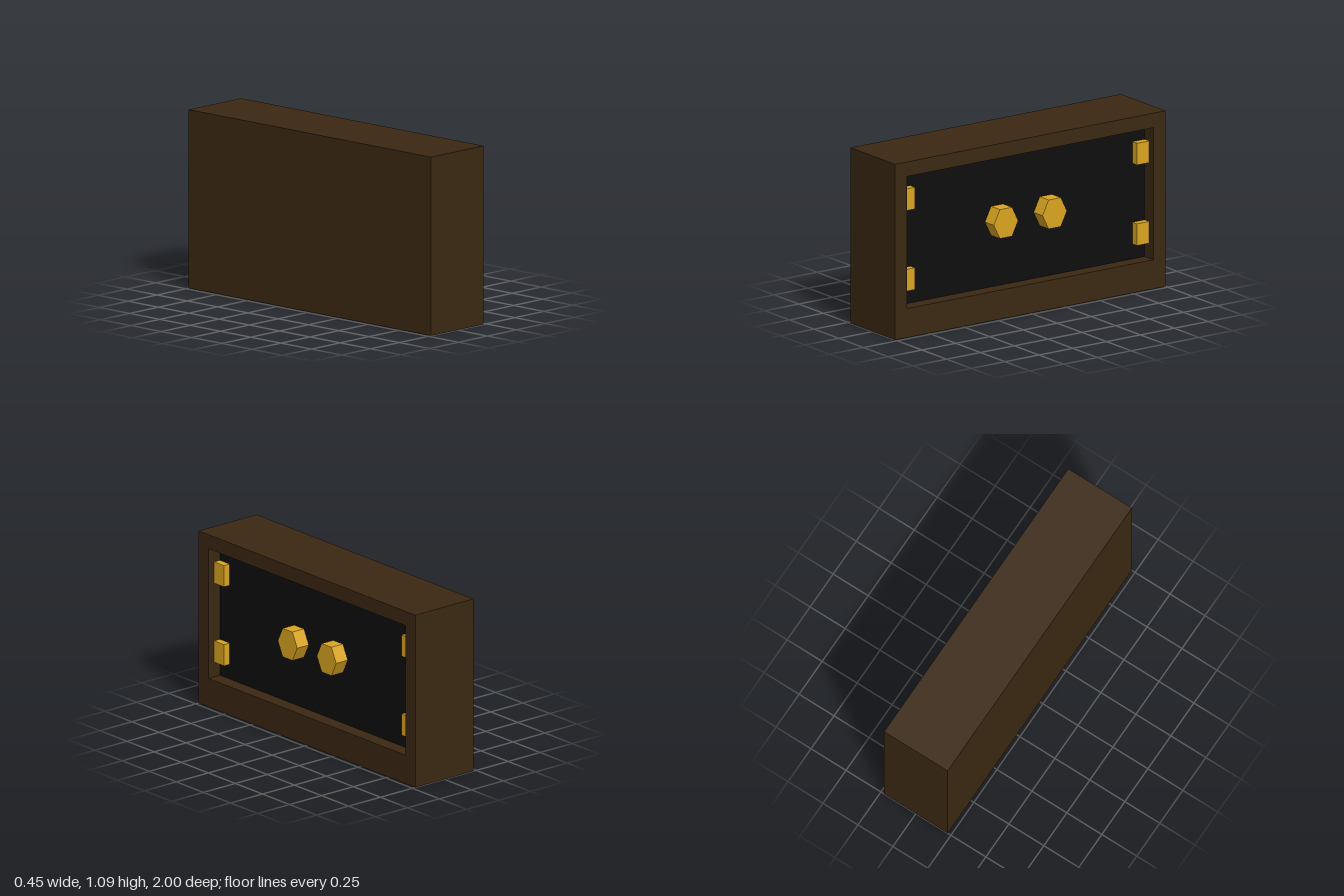
import * as THREE from 'three';

const W = 0.227, H = 1.09;                        // half width, height (half length is 1)
const HOLE = { z: 0.91, y0: 0.18, y1: 1.0 };      // recess opening
const DEPTH = 0.09, BACK = W - DEPTH;             // recess depth and its rear plane

const material = (color) => new THREE.MeshStandardMaterial({ color, flatShading: true, side: THREE.DoubleSide });

export function createModel() {
  const model = new THREE.Group();
  const wood = material(0x3b2812), dark = material(0x0d0d0d), gold = material(0xdaa520);

  const add = (name, geometry, mat, x, y, z, parent = model) => {
    const mesh = new THREE.Mesh(geometry, mat);
    mesh.name = name;
    mesh.position.set(x, y, z);
    parent.add(mesh);
    return mesh;
  };
  const plane = (w, h) => new THREE.PlaneGeometry(w, h);

  // Thin outer casing, open underneath
  const casing = new THREE.Group();
  casing.name = 'casing';
  model.add(casing);
  add('frontWall', plane(2 * W, H), wood, 0, H / 2, 1, casing);
  add('backWall', plane(2 * W, H).rotateY(Math.PI), wood, 0, H / 2, -1, casing);
  add('rearWall', plane(2, H).rotateY(-Math.PI / 2), wood, -W, H / 2, 0, casing);
  add('topWall', plane(2 * W, 2).rotateX(-Math.PI / 2), wood, 0, H, 0, casing);

  // Face frame with a rectangular opening
  const face = new THREE.Shape([[-1, 0], [1, 0], [1, H], [-1, H]].map((p) => new THREE.Vector2(...p)));
  face.holes.push(new THREE.Path([
    [-HOLE.z, HOLE.y0], [-HOLE.z, HOLE.y1], [HOLE.z, HOLE.y1], [HOLE.z, HOLE.y0],
  ].map((p) => new THREE.Vector2(...p))));
  add('faceFrame', new THREE.ShapeGeometry(face).rotateY(Math.PI / 2), wood, W, 0, 0, casing);

  // Inner sides of the recess
  const midX = W - DEPTH / 2, midY = (HOLE.y0 + HOLE.y1) / 2, holeH = HOLE.y1 - HOLE.y0;
  add('recessFloor', plane(DEPTH, 2 * HOLE.z).rotateX(-Math.PI / 2), wood, midX, HOLE.y0, 0, casing);
  add('recessCeiling', plane(DEPTH, 2 * HOLE.z).rotateX(Math.PI / 2), wood, midX, HOLE.y1, 0, casing);
  for (const s of [-1, 1]) {
    add('recessSide', plane(DEPTH, holeH).rotateY(s > 0 ? Math.PI : 0), wood, midX, midY, s * HOLE.z, casing);
  }

  // Dark door panel at the back of the recess
  add('doorPanel', plane(2 * HOLE.z, holeH).rotateY(Math.PI / 2), dark, BACK, midY, 0);

  // Mirrored knobs and hinges
  const knob = new THREE.CylinderGeometry(0.09, 0.09, DEPTH, 6)
    .rotateZ(-Math.PI / 2).scale(1, 2 / Math.sqrt(3), 1);
  const hinge = new THREE.BoxGeometry(0.045, 0.135, 0.09);
  for (const s of [-1, 1]) {
    add('knob', knob, gold, midX, midY, s * 0.18);
    for (const y of [0.34, 0.84]) add('hinge', hinge, gold, BACK + 0.0225, y, s * 0.865);
  }
  return model;
}
